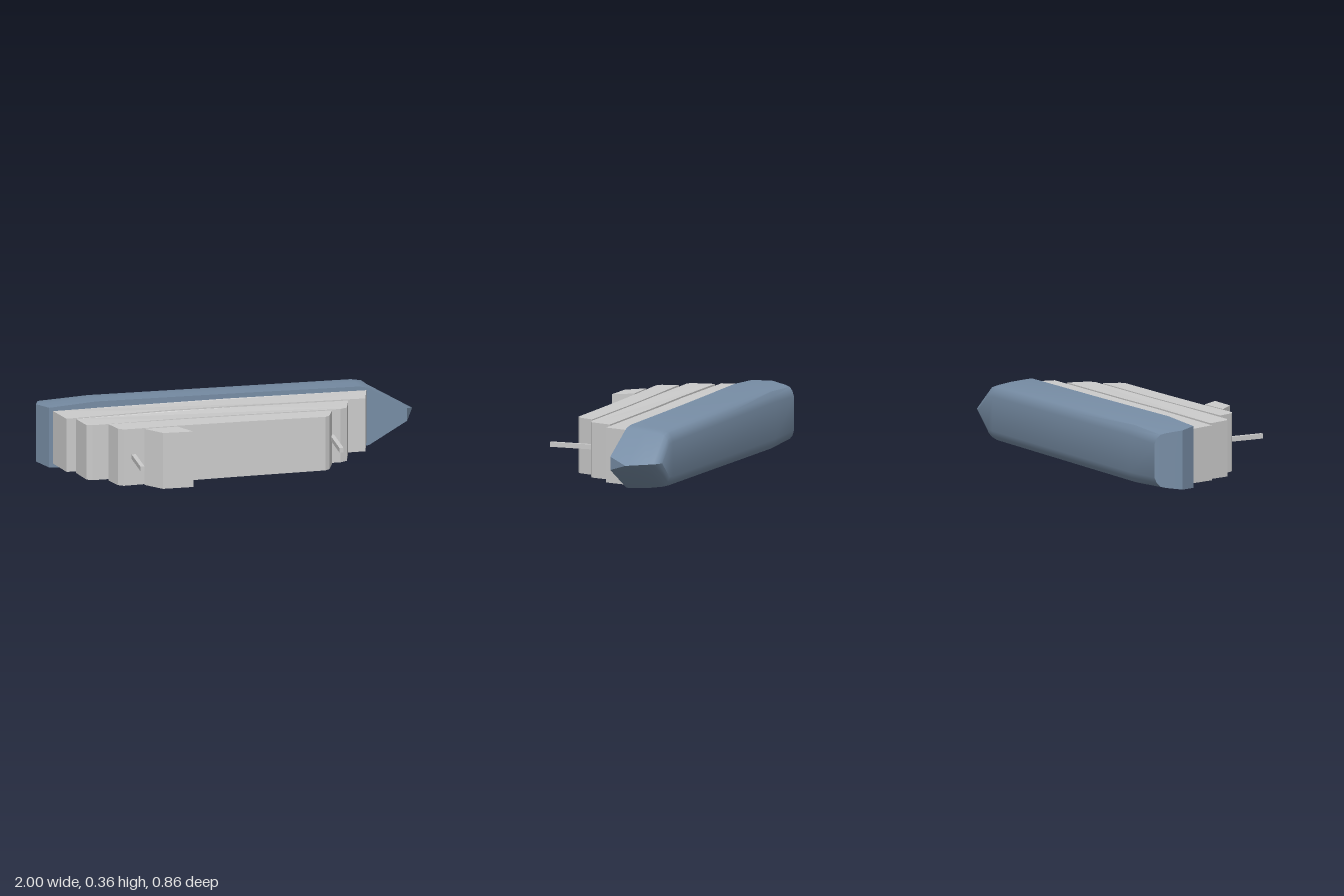
import * as THREE from 'three';
import { toCreasedNormals } from 'three/addons/utils/BufferGeometryUtils.js';

const MID = 0.18; // height of the ship's centreline; the ship lies on its side, masts towards +z

// Half beam of the superstructure, widest towards the stern
function halfBeam(x) {
  const m = THREE.MathUtils;
  return x < -0.7 ? m.mapLinear(x, -0.93, -0.7, 0.143, 0.154) : m.mapLinear(x, -0.7, 0.74, 0.154, 0.144);
}

// Side outline (x, z) extruded across the beam
function deckBlock(outline) {
  const shape = new THREE.Shape(outline.map(([x, z]) => new THREE.Vector2(x, z)));
  const geo = new THREE.ExtrudeGeometry(shape, { depth: 1, bevelEnabled: false });
  const p = geo.attributes.position;
  for (let i = 0; i < p.count; i++) {
    const x = p.getX(i);
    p.setXYZ(i, x, MID - (p.getZ(i) - 0.5) * 2 * halfBeam(x), p.getY(i));
  }
  geo.computeVertexNormals();
  return geo;
}

// Hull lofted from half sections, mirrored about the centreline
function hullGeometry() {
  const section = [[0.175, -0.2], [0.168, -0.29], [0.155, -0.375], [0.147, -0.402], [0.125, -0.42], [0.095, -0.43]];
  const sternX = [-0.95, -1, -0.972, -0.962, -0.955, -0.95];
  // x, beam scale, deck rise
  const stations = [[null, 0.93, 0.005], [-0.7, 1.02, 0], [0, 0.985, 0], [0.7, 0.95, 0.01], [0.75, 0.89, 0.012]];
  const halves = stations.map(([x, scale, rise]) =>
    section.map(([w, z], j) => [x ?? sternX[j], w * scale, j === 0 ? z + rise : z]));
  // raked stem, with a narrow blunt top
  halves.push([[0.95, 0.035, -0.18], [1, 0, -0.285], [0.925, 0, -0.37], [0.9, 0, -0.4], [0.88, 0, -0.417], [0.85, 0, -0.43]]);

  const rings = halves.map((half) => [
    ...half.map(([x, w, z]) => new THREE.Vector3(x, MID + w, z)),
    ...half.slice().reverse().map(([x, w, z]) => new THREE.Vector3(x, MID - w, z)),
  ]);
  const pos = [];
  const tri = (a, b, c) => {
    const area = b.clone().sub(a).cross(c.clone().sub(a)).length();
    if (area > 1e-8) for (const v of [a, b, c]) pos.push(v.x, v.y, v.z);
  };
  const quad = (a, b, c, d) => { tri(a, b, c); tri(a, c, d); };
  const n = section.length * 2;
  for (let i = 0; i < rings.length - 1; i++) {
    for (let j = 0; j < n; j++) {
      const k = (j + 1) % n;
      quad(rings[i][j], rings[i + 1][j], rings[i + 1][k], rings[i][k]);
    }
  }
  // stern and stem closures
  const s = rings[0], b = rings[rings.length - 1];
  for (let j = 0; j < section.length - 1; j++) {
    quad(s[j], s[j + 1], s[n - 2 - j], s[n - 1 - j]);
    quad(b[j], b[n - 1 - j], b[n - 2 - j], b[j + 1]);
  }
  const geo = new THREE.BufferGeometry();
  geo.setAttribute('position', new THREE.Float32BufferAttribute(pos, 3));
  return toCreasedNormals(geo, 0.6);
}

export function createModel() {
  const model = new THREE.Group();
  model.name = 'ship';
  const grey = new THREE.MeshStandardMaterial({ color: 0xcccccc });
  const blue = new THREE.MeshStandardMaterial({ color: 0x778da5 });
  const add = (name, geo, mat = grey) => {
    const mesh = new THREE.Mesh(geo, mat);
    mesh.name = name;
    model.add(mesh);
    return mesh;
  };

  add('hull', hullGeometry(), blue);

  // Stepped superstructure, each deck shorter than the one below
  add('lowerDeck', deckBlock([[-0.93, -0.2], [0, -0.205], [0.735, -0.19], [0.7, -0.053], [0.35, -0.058],
    [0, -0.063], [-0.35, -0.06], [-0.89, -0.048]]));
  add('middleDeck', deckBlock([[-0.845, -0.03], [-0.35, -0.04], [0, -0.043], [0.605, -0.036], [0.572, 0.08],
    [0.535, 0.098], [0, 0.091], [-0.35, 0.094], [-0.785, 0.103], [-0.815, 0.09]]));
  add('upperDeck', deckBlock([[-0.703, 0.115], [-0.35, 0.107], [0, 0.105], [0.487, 0.112], [0.455, 0.195],
    [0.43, 0.213], [0, 0.209], [-0.35, 0.211], [-0.645, 0.22], [-0.672, 0.2]]));

  // Raked funnel block
  add('funnel', deckBlock([[-0.538, 0.229], [-0.36, 0.224], [-0.297, 0.324], [-0.458, 0.318]]));

  // Square masts
  for (const [name, x, z0, z1] of [['aftMast', -0.592, 0.215, 0.432], ['foreMast', 0.485, 0.113, 0.345]]) {
    add(name, new THREE.BoxGeometry(0.022, 0.025, z1 - z0)).position.set(x, MID + 0.002, (z0 + z1) / 2);
  }
  return model;
}
